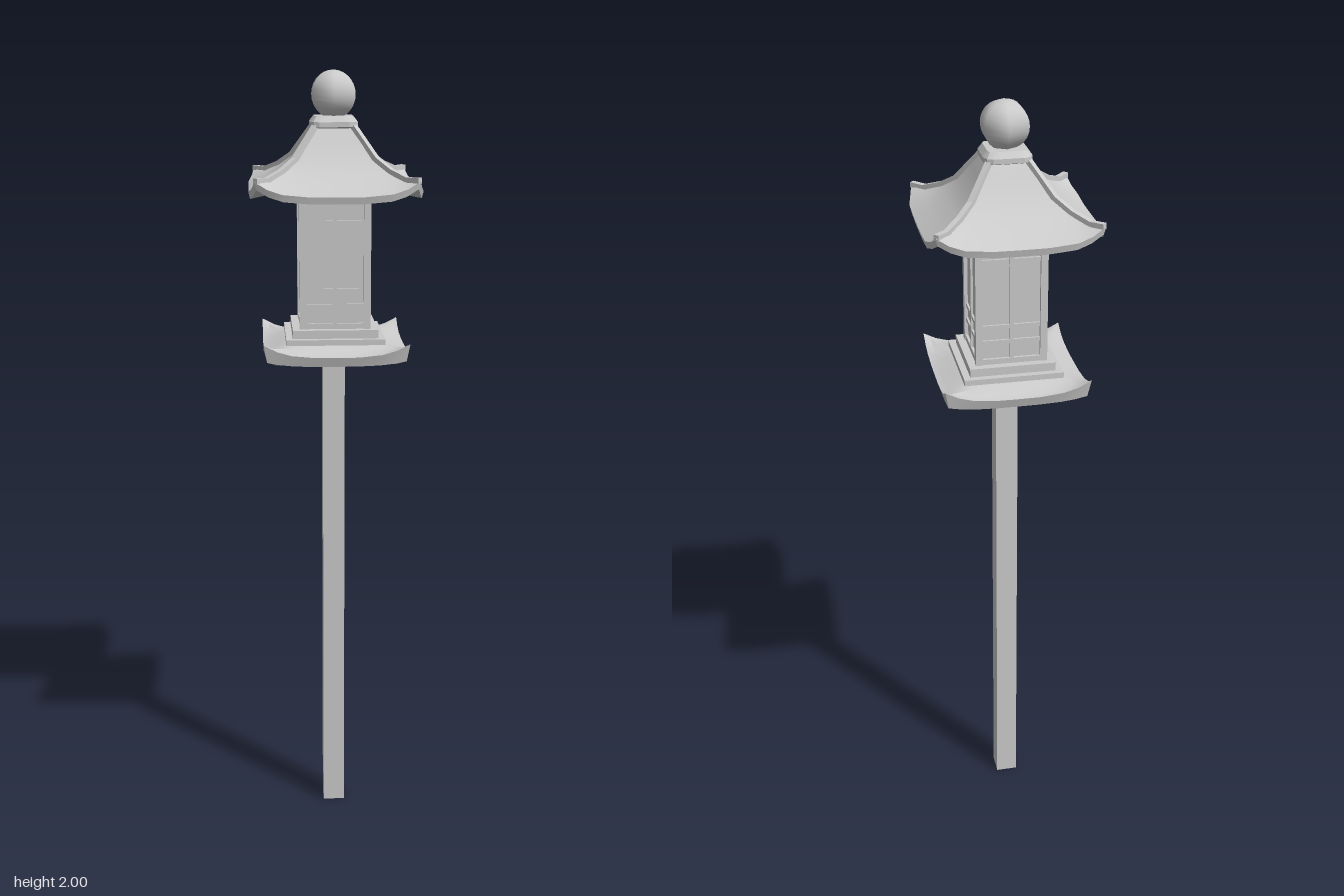
import * as THREE from 'three';
import { toCreasedNormals } from 'three/addons/utils/BufferGeometryUtils.js';

const material = new THREE.MeshStandardMaterial({ color: 0xcccccc });

function add(parent, name, geometry) {
  const mesh = new THREE.Mesh(geometry, material);
  mesh.name = name;
  parent.add(mesh);
  return mesh;
}

function box(parent, name, w, h, d, x, y, z) {
  const mesh = add(parent, name, new THREE.BoxGeometry(w, h, d));
  mesh.position.set(x, y, z);
  return mesh;
}

// Square rings [half width, height, corner lift, corner inset] joined from top to bottom.
function squareLoft(rings, crease) {
  const steps = [-1, -0.82, -0.62, -0.3, 0, 0.3, 0.62, 0.82];
  const count = steps.length * 4;
  const position = [];
  const index = [];
  for (const [half, y, lift = 0, inset = 0] of rings) {
    for (let side = 0; side < 4; side++) {
      for (const u of steps) {
        const a = Math.abs(u);
        const scale = half * (1 - inset * Math.max(0, (a - 0.62) / 0.38));
        let x = u * scale;
        let z = scale;
        for (let r = 0; r < side; r++) [x, z] = [z, -x];
        position.push(x, y + lift * a ** 3.5, z);
      }
    }
  }
  for (let i = 0; i < rings.length - 1; i++) {
    for (let k = 0; k < count; k++) {
      const a = i * count + k;
      const b = i * count + (k + 1) % count;
      index.push(a, a + count, b, b, a + count, b + count);
    }
  }
  const geometry = new THREE.BufferGeometry();
  geometry.setAttribute('position', new THREE.Float32BufferAttribute(position, 3));
  geometry.setIndex(index);
  return toCreasedNormals(geometry, crease);
}

export function createModel() {
  const model = new THREE.Group();
  model.name = 'postLantern';

  // Long square post
  box(model, 'post', 0.057, 1.295, 0.057, 0, 0.6475, 0);

  // Tray with upturned corners, and the step above it
  add(model, 'tray', squareLoft([
    [0.1, 1.338], [0.14, 1.328], [0.165, 1.315, 0.018], [0.182, 1.312, 0.033],
    [0.174, 1.288, 0.012], [0.15, 1.288], [0.02, 1.288],
  ], 0.6));
  box(model, 'lowerStep', 0.25, 0.02, 0.25, 0, 1.336, 0);
  box(model, 'upperStep', 0.216, 0.026, 0.216, 0, 1.354, 0);

  // Lantern body with a lattice on every side
  const body = new THREE.Group();
  body.name = 'lanternBody';
  model.add(body);
  const low = 1.365;
  const high = 1.725;
  const mid = (low + high) / 2;
  box(body, 'panels', 0.162, high - low, 0.162, 0, mid, 0);
  for (let i = 0; i < 4; i++) {
    const side = new THREE.Group();
    side.name = 'lattice' + (i + 1);
    side.rotation.y = i * Math.PI / 2;
    body.add(side);
    box(side, 'cornerPost', 0.018, high - low, 0.018, 0.081, mid, 0.081);
    box(side, 'mullion', 0.01, high - low, 0.01, 0, mid, 0.082);
    for (const y of [1.425, 1.465, 1.635]) {
      box(side, 'crossBar', 0.16, 0.01, 0.008, 0, y, 0.082);
    }
    box(side, 'bottomRail', 0.16, 0.016, 0.012, 0, low + 0.008, 0.082);
  }

  // Sweeping roof with a thin eave and a sloping underside
  add(model, 'roof', squareLoft([
    [0.045, 1.868], [0.072, 1.83], [0.1, 1.787], [0.135, 1.757, 0.004, 0.01],
    [0.175, 1.73, 0.014, 0.03], [0.214, 1.709, 0.036, 0.07],
    [0.21, 1.692, 0.034, 0.07], [0.165, 1.703, 0.012, 0.03], [0.08, 1.715],
  ], 0.7));

  // Hip ridges, with the flicked tips at the corners
  const ridgePoints = [[0.045, 1.868], [0.1, 1.788], [0.134, 1.762], [0.17, 1.745], [0.196, 1.746]];
  for (let i = 0; i < 4; i++) {
    const ridge = new THREE.Group();
    ridge.name = 'hipRidge' + (i + 1);
    ridge.rotation.y = Math.PI / 4 + i * Math.PI / 2;
    model.add(ridge);
    for (let k = 0; k < ridgePoints.length - 1; k++) {
      const [r0, y0] = ridgePoints[k];
      const [r1, y1] = ridgePoints[k + 1];
      const dx = (r1 - r0) * Math.SQRT2;
      const dy = y1 - y0;
      const bar = box(ridge, 'ridgeBar', Math.hypot(dx, dy) + 0.004, 0.014, 0.014,
        (r0 + r1) / Math.SQRT2, (y0 + y1) / 2, 0);
      bar.rotation.z = Math.atan2(dy, dx);
    }
  }

  // Chamfered cap and ball finial
  add(model, 'roofCap', squareLoft([
    [0.001, 1.89], [0.048, 1.89, 0, 0.08], [0.059, 1.876, 0, 0.12],
    [0.059, 1.864, 0, 0.12], [0.04, 1.856],
  ], 0.4));
  const ball = add(model, 'finial', new THREE.SphereGeometry(0.062, 6, 14));
  ball.scale.y = 0.95;
  ball.rotation.y = Math.PI / 2;
  ball.position.y = 1.941;

  return model;
}
